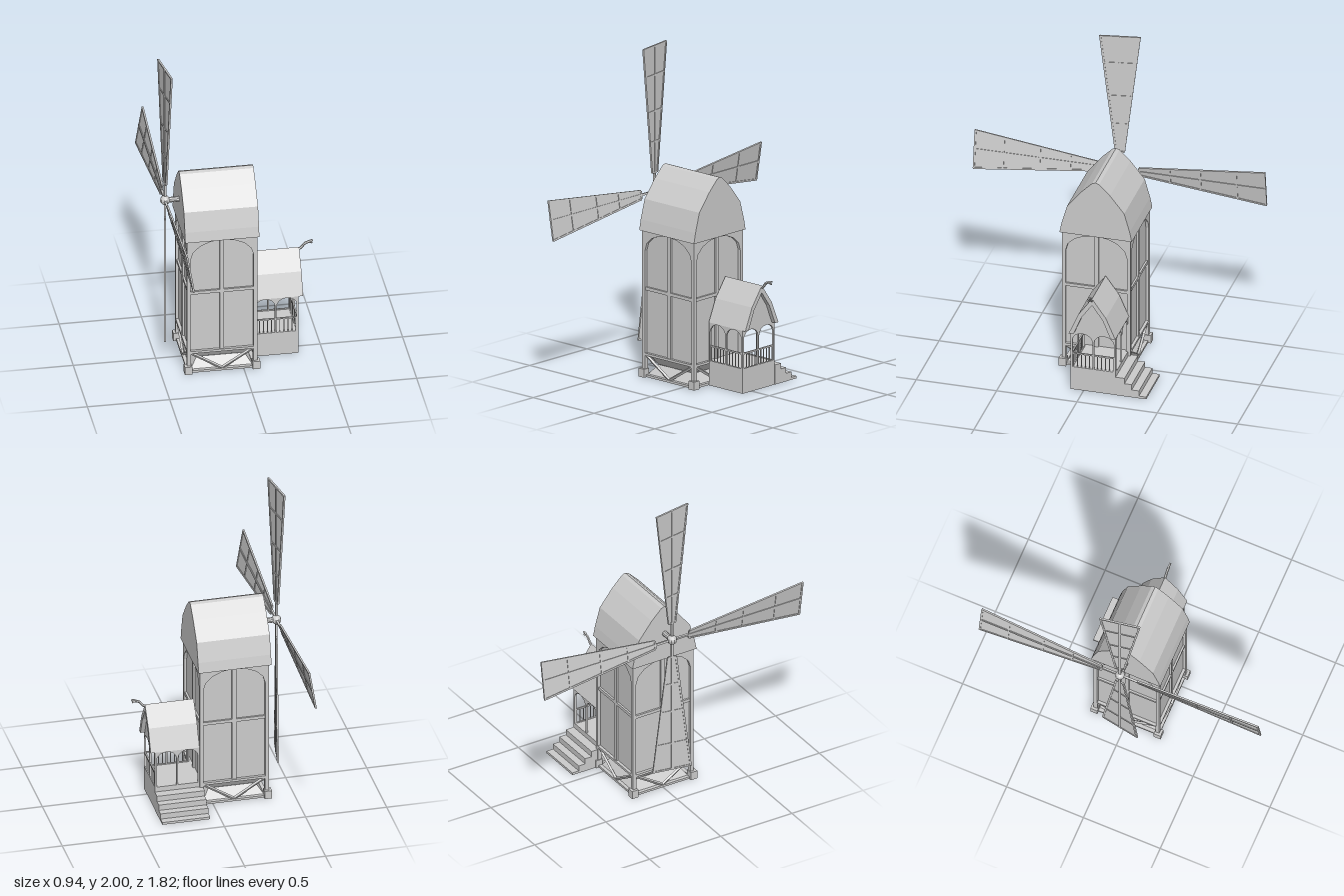
import * as THREE from 'three';

const mat = new THREE.MeshStandardMaterial({ color: 0xcccccc, flatShading: true, side: THREE.DoubleSide });

function add(parent, name, geo, x = 0, y = 0, z = 0) {
  const m = new THREE.Mesh(geo, mat);
  m.name = name;
  m.position.set(x, y, z);
  parent.add(m);
  return m;
}
const box = (p, name, w, h, d, x, y, z) => add(p, name, new THREE.BoxGeometry(w, h, d), x, y, z);

function group(parent, name, x = 0, y = 0, z = 0) {
  const g = new THREE.Group();
  g.name = name;
  g.position.set(x, y, z);
  parent.add(g);
  return g;
}

// Square bar between two points
function bar(parent, name, a, b, t) {
  const A = new THREE.Vector3(...a), B = new THREE.Vector3(...b);
  const dir = B.clone().sub(A);
  const m = add(parent, name, new THREE.BoxGeometry(t, t, dir.length()));
  m.position.copy(A).add(B).multiplyScalar(0.5);
  m.quaternion.setFromUnitVectors(new THREE.Vector3(0, 0, 1), dir.normalize());
}

const extrude = (shape, depth) => new THREE.ExtrudeGeometry(shape, { depth, bevelEnabled: false });
const polygon = pts => new THREE.Shape(pts.map(p => new THREE.Vector2(...p)));
// Section drawn as (-z, y) and swept along x
const sweepX = (pts, length) => extrude(polygon(pts), length).rotateY(Math.PI / 2);
const mirrored = half => [...half, ...half.slice().reverse().filter(p => p[0] !== 0).map(([x, y]) => [-x, y])];

// Flat wall pierced by equal arched openings
function arcade(half, y0, y1, count, post, sill, spring, crown, depth) {
  const s = polygon([[-half, y0], [half, y0], [half, y1], [-half, y1]]);
  const bay = (2 * half - post) / count;
  for (let i = 0; i < count; i++) {
    const c = -half + post / 2 + bay * (i + 0.5), r = (bay - post) / 2;
    const hole = new THREE.Path();
    hole.moveTo(c - r, sill);
    hole.lineTo(c + r, sill);
    for (let k = 0; k <= 8; k++) {
      const a = k * Math.PI / 8;
      hole.lineTo(c + r * Math.cos(a), spring + (crown - spring) * Math.sin(a));
    }
    s.holes.push(hole);
  }
  return extrude(s, depth);
}

function buildTower(root) {
  const tower = group(root, 'tower', -0.132);
  const H = 0.213, q = Math.SQRT2;
  box(tower, 'towerWalls', 0.39, 0.77, 0.39, 0, 0.525, 0);
  // Hopper floor and spreading skirt
  add(tower, 'hopperFloor', new THREE.CylinderGeometry(0.185 * q, 0.145 * q, 0.065, 4).rotateY(Math.PI / 4), 0, 0.1075, 0);
  add(tower, 'baseSkirt', new THREE.CylinderGeometry(0.145 * q, 0.19 * q, 0.065, 4, 1, true).rotateY(Math.PI / 4), 0, 0.042, 0);
  // Four identical timber sides
  for (let i = 0; i < 4; i++) {
    const side = group(tower, 'towerSide');
    side.rotation.y = i * Math.PI / 2;
    add(side, 'archFrame', arcade(H, 0.135, 0.912, 1, 0.022, 0.15, 0.785, 0.908, 0.022), 0, 0, H - 0.022);
    box(side, 'middlePost', 0.026, 0.76, 0.014, 0, 0.525, 0.2);
    box(side, 'crossBeam', 0.385, 0.02, 0.014, 0, 0.55, 0.2);
    box(side, 'sillBeam', 0.4, 0.014, 0.022, 0, 0.009, 0.2);
    for (const s of [-1, 1])
      bar(side, 'brace', [s * 0.19, 0.135, 0.2], [0, 0.016, 0.2], 0.014);
    box(side, 'leg', 0.024, 0.14, 0.024, H - 0.012, 0.07, H - 0.012);
    box(side, 'foot', 0.045, 0.052, 0.045, 0.206, 0.026, 0.206);
  }
  // Steep folded roof with a narrow rounded ridge
  const roof = [[0.225, 0.91], [0.212, 0.975], [0.178, 1.095], [0.09, 1.205], [0.022, 1.272], [0, 1.28]];
  add(tower, 'mainRoof', sweepX(mirrored(roof), 0.45), -0.226, 0, 0);
}

function buildSails(root) {
  const sails = group(root, 'sails', -0.443, 1.09, 0);
  add(sails, 'axle', new THREE.CylinderGeometry(0.017, 0.017, 0.15, 10).rotateZ(Math.PI / 2), 0.06, 0, 0);
  add(sails, 'hub', new THREE.SphereGeometry(0.03, 10, 8));
  const r0 = 0.12, r1 = 0.909;
  const half = r => 0.025 + (r - r0) / (r1 - r0) * 0.095;
  for (let i = 0; i < 4; i++) {
    const arm = group(sails, 'sailArm');
    arm.rotation.x = i * Math.PI / 2;
    const blade = group(arm, 'blade');
    blade.rotation.y = 0.165;
    // Thin tapering panel with its lattice frame
    const panel = polygon([[-half(r0), r0], [half(r0), r0], [half(r1), r1], [-half(r1), r1]]);
    add(blade, 'sailPanel', extrude(panel, 0.004).rotateY(Math.PI / 2), -0.002, 0, 0);
    bar(blade, 'spar', [0, 0, 0], [0, r1, 0], 0.013);
    for (const s of [-1, 1])
      bar(blade, 'edgeBar', [0, r0, s * half(r0)], [0, r1, s * half(r1)], 0.011);
    for (const r of [r0, 0.31, 0.5, 0.725, r1 - 0.005])
      bar(blade, 'crossBar', [0, r, -half(r)], [0, r, half(r)], 0.011);
  }
}

function railing(parent, length, x, z, turn) {
  const rail = group(parent, 'railing', x, 0, z);
  rail.rotation.y = turn;
  box(rail, 'handrail', length, 0.009, 0.009, 0, 0.246, 0);
  const n = 11;
  for (let i = 0; i < n; i++)
    box(rail, 'baluster', 0.005, 0.095, 0.005, (i / (n - 1) - 0.5) * (length - 0.02), 0.198, 0);
}

function buildPorch(root) {
  const porch = group(root, 'porch', 0.217, 0, -0.06);
  // Hollow plinth and deck
  for (const s of [-1, 1]) {
    box(porch, 'plinthSide', 0.276, 0.15, 0.012, 0, 0.075, s * 0.134);
    box(porch, 'plinthEnd', 0.012, 0.15, 0.28, s * 0.132, 0.075, 0);
    add(porch, 'sideArcade', arcade(0.138, 0.15, 0.4, 2, 0.01, 0.154, 0.335, 0.387, 0.012), 0, 0, s * 0.134 - 0.006);
  }
  box(porch, 'deck', 0.274, 0.014, 0.278, 0, 0.143, 0);
  add(porch, 'endArcade', arcade(0.14, 0.15, 0.4, 2, 0.01, 0.154, 0.335, 0.387, 0.012).rotateY(Math.PI / 2), 0.126, 0, 0);
  railing(porch, 0.266, 0, 0.134, 0);
  railing(porch, 0.27, 0.132, 0, Math.PI / 2);

  // Folded roof shell, recessed gable and ridge
  const outer = mirrored([[0.145, 0.393], [0.086, 0.53], [0, 0.65]]);
  const inner = mirrored([[0.115, 0.393], [0.066, 0.512], [0, 0.605]]);
  add(porch, 'porchRoof', sweepX([...outer, ...inner.slice().reverse()], 0.3), -0.135, 0, 0);
  add(porch, 'gable', sweepX(inner, 0.012), 0.126, 0, 0);
  // Curved ridge finial with an open forked tip
  const path = new THREE.CatmullRomCurve3([[0.14, 0.636], [0.172, 0.642], [0.2, 0.672], [0.225, 0.682]]
    .map(p => new THREE.Vector3(p[0], p[1], 0)));
  add(porch, 'finial', new THREE.TubeGeometry(path, 10, 0.008, 6));
  bar(porch, 'finialTip', [0.22, 0.684, 0], [0.248, 0.69, 0], 0.01);
  bar(porch, 'finialTip', [0.22, 0.679, 0], [0.245, 0.673, 0], 0.008);

  // Steps down at the back
  const steps = [[0.14, 0]];
  [0.122, 0.086, 0.05, 0.015].forEach((y, i) =>
    steps.push([i ? 0.15 + i * 0.045 : 0.14, y], [0.195 + i * 0.045, y]));
  steps.push([0.33, 0]);
  add(porch, 'steps', sweepX(steps, 0.295), -0.156, 0, 0);
}

export function createModel() {
  const model = new THREE.Group();
  model.name = 'windmill';
  buildTower(model);
  buildSails(model);
  buildPorch(model);
  return model;
}
